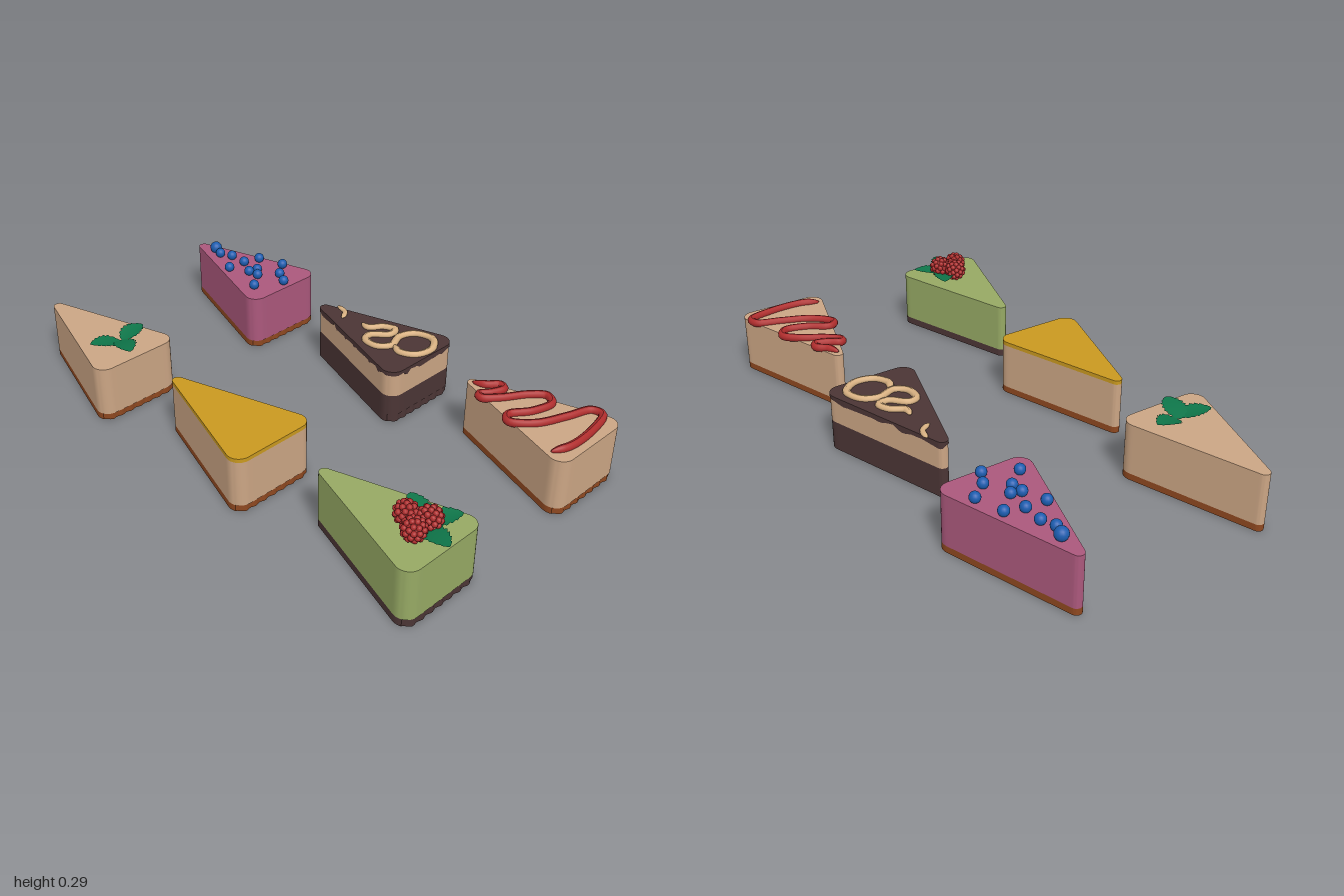
import * as THREE from 'three';
import { toCreasedNormals } from 'three/addons/utils/BufferGeometryUtils.js';

const mat = (name, color, side = THREE.FrontSide) => {
  const m = new THREE.MeshStandardMaterial({ color, side });
  m.name = name;
  return m;
};

const TOP = 0.215;

// Rounded wedge outline, tip at x = 0 and back at x = 0.525
function wedgePoints(grow = 0, ripple = 0) {
  const pts = [];
  const a = 1.879; // angle of the long side's normal
  const arc = (cx, cy, r, from, to, n) => {
    for (let i = 0; i <= n; i++) {
      const t = from + (to - from) * i / n;
      pts.push(new THREE.Vector2(cx + (r + grow) * Math.cos(t), cy + (r + grow) * Math.sin(t)));
    }
  };
  arc(0.48, -0.12, 0.045, -a, 0, 10);
  arc(0.48, 0.12, 0.045, 0, a, 10);
  arc(0.02, 0, 0.02, a, 2 * Math.PI - a, 10);
  // Split the straight sides into short steps
  const out = [];
  pts.forEach((p, i) => {
    const q = pts[(i + 1) % pts.length];
    const n = Math.max(1, Math.round(p.distanceTo(q) / 0.009));
    for (let k = 0; k < n; k++) out.push(p.clone().lerp(q, k / n));
  });
  out.forEach(p => {
    if (p.x > 0.5) p.x -= ripple * (1 + Math.sin(p.y * 150));
  });
  return out;
}

// One layer of a slice between two heights, with an optional dripping lower edge
function layerGeometry(y0, y1, { grow = 0, ripple = 0, drip = 0 } = {}) {
  const g = new THREE.ExtrudeGeometry(new THREE.Shape(wedgePoints(grow, ripple)), {
    depth: y1 - y0, bevelEnabled: false, steps: 1
  });
  g.rotateX(-Math.PI / 2);
  g.translate(0, y0, 0);
  if (drip) {
    const p = g.attributes.position;
    for (let i = 0; i < p.count; i++) {
      if (p.getY(i) > y0 + 1e-4) continue;
      const s = p.getX(i) + 1.3 * p.getZ(i);
      p.setY(i, y0 + drip * (0.6 * Math.sin(s * 75) + 0.4 * Math.sin(s * 131 + 1)));
    }
  }
  return toCreasedNormals(g, 0.6);
}

// Tapered, slightly flattened piped line through [x, z] points
function pipedLine(points, y, radius, flat) {
  const curve = new THREE.CatmullRomCurve3(points.map(([x, z]) => new THREE.Vector3(x, 0, z)));
  const rows = points.length * 8, sides = 10;
  const g = new THREE.TubeGeometry(curve, rows, radius, sides, false);
  const p = g.attributes.position, c = new THREE.Vector3(), v = new THREE.Vector3();
  for (let i = 0; i <= rows; i++) {
    const t = i / rows;
    curve.getPointAt(t, c);
    const w = Math.min(1, Math.sqrt(Math.min(t, 1 - t) * rows / 5) + 0.01);
    for (let j = 0; j <= sides; j++) {
      const k = i * (sides + 1) + j;
      v.fromBufferAttribute(p, k).sub(c).multiplyScalar(w).add(c);
      p.setXYZ(k, v.x, v.y * flat, v.z);
    }
  }
  g.computeVertexNormals();
  g.translate(0, y, 0);
  return g;
}

// Serrated leaf along +x, folded at the midrib and curling up at the tip
function leafGeometry(length, width) {
  const pos = [], idx = [], n = 28;
  for (let i = 0; i <= n; i++) {
    const t = i / n;
    const tooth = i % 4 === 0 ? 0.82 : 1.06 - 0.06 * (i % 4);
    const w = 0.5 * width * Math.pow(Math.sin(Math.PI * Math.pow(t, 0.85)), 0.7) * tooth || 0;
    const y = 0.02 * t * t + 0.008 * Math.sin(Math.PI * t);
    for (const s of [-1, 0, 1]) pos.push(t * length, y + Math.abs(s) * w * 0.2, s * w);
    if (i === n) continue;
    for (const k of [0, 1]) {
      const a = i * 3 + k, b = a + 1, c = a + 3, d = a + 4;
      idx.push(a, b, c, b, d, c);
    }
  }
  const g = new THREE.BufferGeometry();
  g.setAttribute('position', new THREE.Float32BufferAttribute(pos, 3));
  g.setIndex(idx);
  g.computeVertexNormals();
  return g;
}

export function createModel() {
  const root = new THREE.Group();
  root.name = 'cakeSlices';
  const M = {
    cream: mat('creamFilling', 0xcba584),
    crust: mat('biscuitCrust', 0x8e4820),
    pink: mat('berryFilling', 0xab587c),
    dark: mat('chocolate', 0x4b3535),
    green: mat('greenFilling', 0x96a964),
    yellow: mat('yellowGlaze', 0xc9991f),
    blue: mat('blueberry', 0x1c5cae),
    red: mat('redFruit', 0xae2c2c),
    leaf: mat('mintLeaf', 0x0e7549, THREE.DoubleSide),
    swirl: mat('paleSwirl', 0xd8b182)
  };
  const add = (parent, name, geometry, material, x = 0, y = 0, z = 0) => {
    const m = new THREE.Mesh(geometry, material);
    m.name = name;
    m.position.set(x, y, z);
    parent.add(m);
    return m;
  };

  const columns = [-1, -0.273, 0.455], backZ = -0.361, frontZ = 0.371;
  // layers: [name, material, bottom, top, options]
  const slice = (name, column, z, layers) => {
    const g = new THREE.Group();
    g.name = name;
    g.position.set(columns[column], 0, z);
    for (const [part, m, y0, y1, o] of layers) add(g, part, layerGeometry(y0, y1, o), m);
    root.add(g);
  };
  const base = (m, h) => ['crust', m, 0, h, { ripple: 0.003 }];

  slice('blueberrySlice', 0, backZ, [base(M.crust, 0.025), ['filling', M.pink, 0.025, TOP]]);
  slice('chocolateSlice', 1, backZ, [
    base(M.dark, 0.03), ['lowerFilling', M.dark, 0.03, 0.112], ['upperFilling', M.cream, 0.112, 0.21],
    ['drippingGlaze', M.dark, 0.198, TOP, { grow: 0.002, drip: 0.01 }]
  ]);
  slice('sauceSlice', 2, backZ, [base(M.crust, 0.025), ['filling', M.cream, 0.025, TOP]]);
  slice('mintSlice', 0, frontZ, [base(M.crust, 0.025), ['filling', M.cream, 0.025, TOP]]);
  slice('lemonSlice', 1, frontZ, [
    base(M.crust, 0.025), ['filling', M.cream, 0.025, 0.2], ['glaze', M.yellow, 0.2, TOP]
  ]);
  slice('raspberrySlice', 2, frontZ, [base(M.dark, 0.028), ['filling', M.green, 0.028, TOP]]);

  // Blueberries
  const berry = new THREE.SphereGeometry(1, 16, 12);
  [[-0.905, -0.365, 0.024], [-0.86, -0.35], [-0.81, -0.37], [-0.735, -0.37], [-0.715, -0.435],
    [-0.61, -0.467], [-0.56, -0.405], [-0.505, -0.375], [-0.65, -0.365], [-0.66, -0.33],
    [-0.615, -0.335], [-0.56, -0.267], [-0.74, -0.295]].forEach(([x, z, r = 0.0195]) =>
    add(root, 'blueberry', berry, M.blue, x, TOP + 0.8 * r, z).scale.setScalar(r));

  // Pale swirls on the chocolate
  add(root, 'smallSwirl', pipedLine([[-0.225, -0.4], [-0.175, -0.387], [-0.148, -0.345]], TOP + 0.003, 0.01, 0.7), M.swirl);
  add(root, 'largeSwirl', pipedLine([[-0.07, -0.37], [-0.03, -0.365], [0.005, -0.41], [0.05, -0.425],
    [0.06, -0.385], [0.01, -0.33], [0.02, -0.295], [0.08, -0.29], [0.115, -0.33], [0.095, -0.4],
    [0.12, -0.455], [0.19, -0.475], [0.235, -0.42], [0.222, -0.35], [0.17, -0.32], [0.12, -0.34]],
  TOP + 0.005, 0.014, 0.85), M.swirl);

  // Zigzag of red sauce
  add(root, 'redSauce', pipedLine([[0.475, -0.355], [0.52, -0.375], [0.555, -0.41], [0.58, -0.4],
    [0.565, -0.35], [0.54, -0.31], [0.56, -0.3], [0.605, -0.345], [0.66, -0.43], [0.71, -0.472],
    [0.748, -0.445], [0.73, -0.36], [0.685, -0.285], [0.71, -0.255], [0.78, -0.31], [0.83, -0.42],
    [0.865, -0.508], [0.905, -0.513], [0.932, -0.42], [0.935, -0.29], [0.908, -0.218]],
  TOP + 0.005, 0.015, 1), M.red);

  // Leaves: [base x, base z, tip x, tip z]
  [[-0.598, 0.355, -0.61, 0.25], [-0.6, 0.36, -0.483, 0.4], [-0.585, 0.365, -0.625, 0.475],
    [0.87, 0.345, 0.75, 0.28], [0.86, 0.35, 0.925, 0.238], [0.87, 0.36, 0.995, 0.385]
  ].forEach(([x, z, tx, tz]) => {
    const length = Math.hypot(tx - x, tz - z);
    add(root, 'leaf', leafGeometry(length, 0.088), M.leaf, x, TOP + 0.006, z)
      .rotation.y = Math.atan2(z - tz, tx - x);
  });

  // Raspberries made of small beads around a core
  const bead = new THREE.SphereGeometry(0.0105, 8, 6);
  [[0.877, 0.335], [0.812, 0.368], [0.877, 0.408]].forEach(([x, z], i) => {
    const g = new THREE.Group();
    g.name = 'raspberry';
    g.position.set(x, 0.25, z);
    g.rotation.set(0.3 * (i - 1), i, 0.2);
    add(g, 'core', new THREE.SphereGeometry(0.034, 12, 8), M.red);
    const n = 46;
    for (let k = 0; k < n; k++) {
      const y = 1 - 2 * (k + 0.5) / n, r = Math.sqrt(1 - y * y), t = k * 2.39996;
      add(g, 'bead', bead, M.red, 0.034 * r * Math.cos(t), 0.034 * y, 0.034 * r * Math.sin(t));
    }
    root.add(g);
  });
  return root;
}
